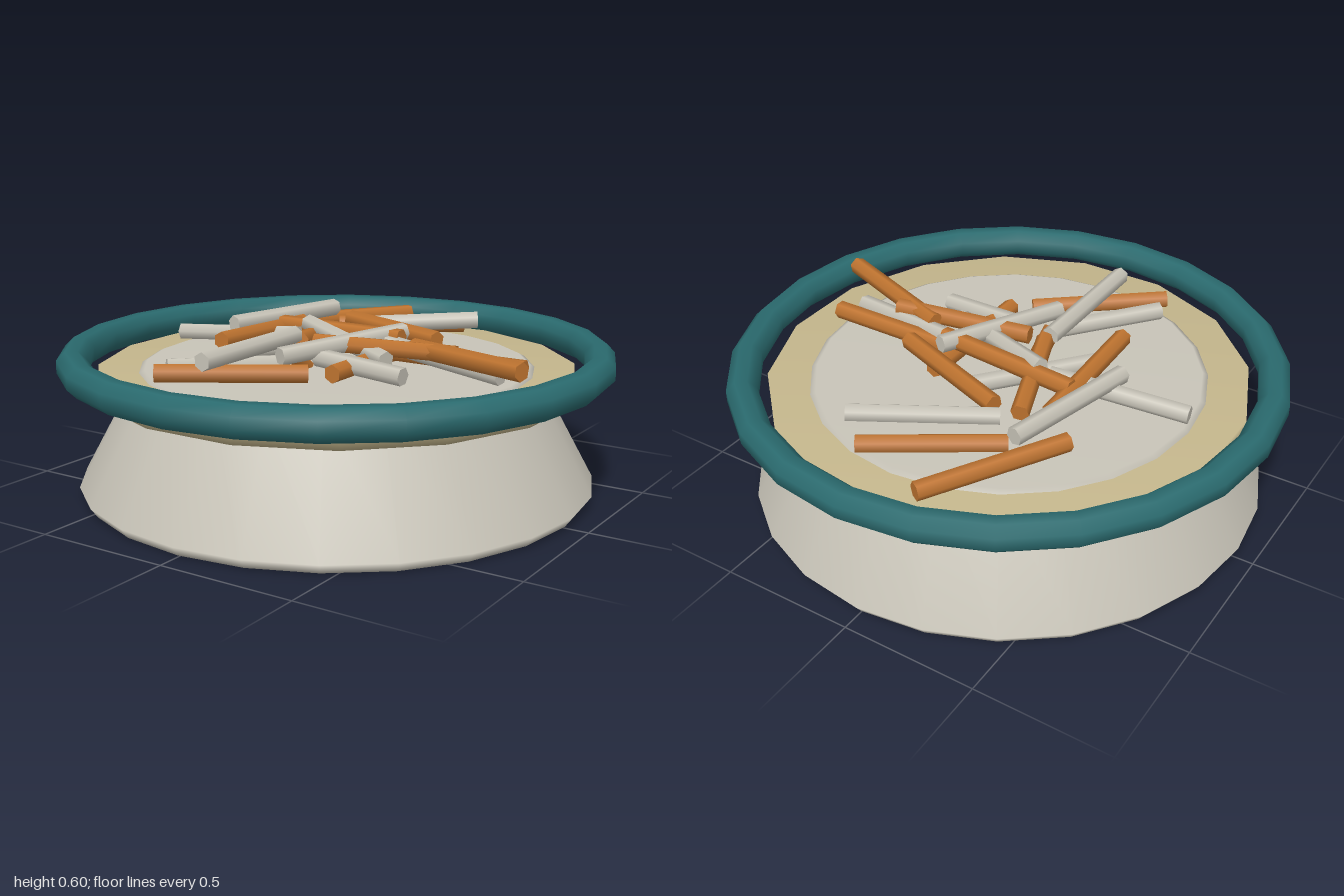
import * as THREE from 'three';
import { mergeVertices } from 'three/addons/utils/BufferGeometryUtils.js';

const mat = (color) => new THREE.MeshStandardMaterial({ color });

// Weld shared corners so shading flows softly over the edges.
function soften(geometry) {
  geometry.deleteAttribute('uv');
  geometry.deleteAttribute('normal');
  const welded = mergeVertices(geometry, 1e-4);
  welded.computeVertexNormals();
  return welded;
}

export function createModel() {
  const model = new THREE.Group();
  const stone = mat(0xc8c4b8), tan = mat(0xc4b68c), teal = mat(0x2a6a6e), wood = mat(0xbf7430);

  const add = (name, geometry, material, parent = model) => {
    const mesh = new THREE.Mesh(geometry, material);
    mesh.name = name;
    parent.add(mesh);
    return mesh;
  };

  // Flared base whose flat top comes through the plate
  const profile = [[0, 0], [0.915, 0.005], [0.94, 0.04], [0.715, 0.45], [0.695, 0.46], [0, 0.465]]
    .map(([r, y]) => new THREE.Vector2(r, y));
  add('base', soften(new THREE.LatheGeometry(profile, 24)), stone);

  // Sixteen-sided plate
  const plate = add('plate', soften(new THREE.CylinderGeometry(0.868, 0.868, 0.07, 16)), tan);
  plate.position.y = 0.415;
  plate.rotation.y = Math.PI / 16;

  // Raised rim ring: eight-sided tube, flat side outward
  const ringProfile = [];
  for (let i = 0; i <= 8; i++) {
    const a = ((i + 0.5) / 8) * Math.PI * 2;
    ringProfile.push(new THREE.Vector2(0.946 + 0.058 * Math.cos(a), 0.485 + 0.058 * Math.sin(a)));
  }
  add('rimRing', soften(new THREE.LatheGeometry(ringProfile.reverse(), 24)), teal)
    .geometry.computeBoundingBox();
  // make sure the tube faces outward
  orientRing(model.getObjectByName('rimRing').geometry);

  // Scattered sticks: x, y, z of each end
  const woodSticks = [
    [-0.16, 0.50, -0.80, -0.44, 0.51, -0.33],
    [0.15, 0.50, -0.70, -0.27, 0.50, -0.43],
    [-0.15, 0.55, -0.33, 0.33, 0.55, -0.15],
    [-0.22, 0.51, -0.28, -0.08, 0.55, 0.12],
    [-0.32, 0.53, -0.25, -0.31, 0.55, 0.28],
    [-0.32, 0.55, -0.11, 0.23, 0.56, -0.07],
    [0.20, 0.51, -0.06, 0.72, 0.51, -0.06],
    [-0.02, 0.55, 0.11, 0.50, 0.55, 0.02],
    [0.32, 0.55, 0.00, 0.82, 0.56, 0.18],
    [0.19, 0.50, -0.20, 0.19, 0.50, 0.32],
    [0.12, 0.50, 0.36, -0.29, 0.51, 0.67],
    [-0.04, 0.46, 0.14, -0.05, 0.53, 0.22],
  ];
  const stoneSticks = [
    [0.25, 0.54, -0.62, -0.18, 0.52, -0.34],
    [-0.31, 0.56, -0.46, -0.43, 0.56, 0.05],
    [-0.70, 0.50, 0.03, -0.20, 0.53, -0.05],
    [0.03, 0.50, -0.22, -0.28, 0.50, 0.16],
    [-0.18, 0.57, -0.08, 0.28, 0.52, 0.12],
    [0.20, 0.57, -0.14, -0.01, 0.54, 0.34],
    [0.18, 0.54, -0.05, 0.68, 0.50, 0.04],
    [0.05, 0.52, 0.20, 0.41, 0.50, 0.225],
    [-0.05, 0.50, 0.28, -0.31, 0.51, 0.58],
    [-0.10, 0.568, 0.12, -0.10, 0.568, 0.65],
  ];
  const sticks = new THREE.Group();
  sticks.name = 'sticks';
  model.add(sticks);
  const up = new THREE.Vector3(0, 1, 0);
  const layStick = (name, material) => ([x1, y1, z1, x2, y2, z2]) => {
    const a = new THREE.Vector3(x1, y1, z1), b = new THREE.Vector3(x2, y2, z2);
    const mesh = add(name, new THREE.CylinderGeometry(0.033, 0.033, a.distanceTo(b), 6), material, sticks);
    mesh.position.copy(a).lerp(b, 0.5);
    mesh.quaternion.setFromUnitVectors(up, b.sub(a).normalize());
  };
  woodSticks.forEach(layStick('woodStick', wood));
  stoneSticks.forEach(layStick('paleStick', stone));

  return model;
}

// Flip the winding if the outermost vertex normals point toward the axis.
function orientRing(geometry) {
  const p = geometry.attributes.position, n = geometry.attributes.normal;
  let out = 0;
  for (let i = 0; i < p.count; i++) {
    const r = Math.hypot(p.getX(i), p.getZ(i));
    out += (r - 0.946) * (p.getX(i) * n.getX(i) + p.getZ(i) * n.getZ(i));
  }
  if (out < 0) {
    geometry.setIndex(Array.from(geometry.index.array).reverse());
    geometry.computeVertexNormals();
  }
}
